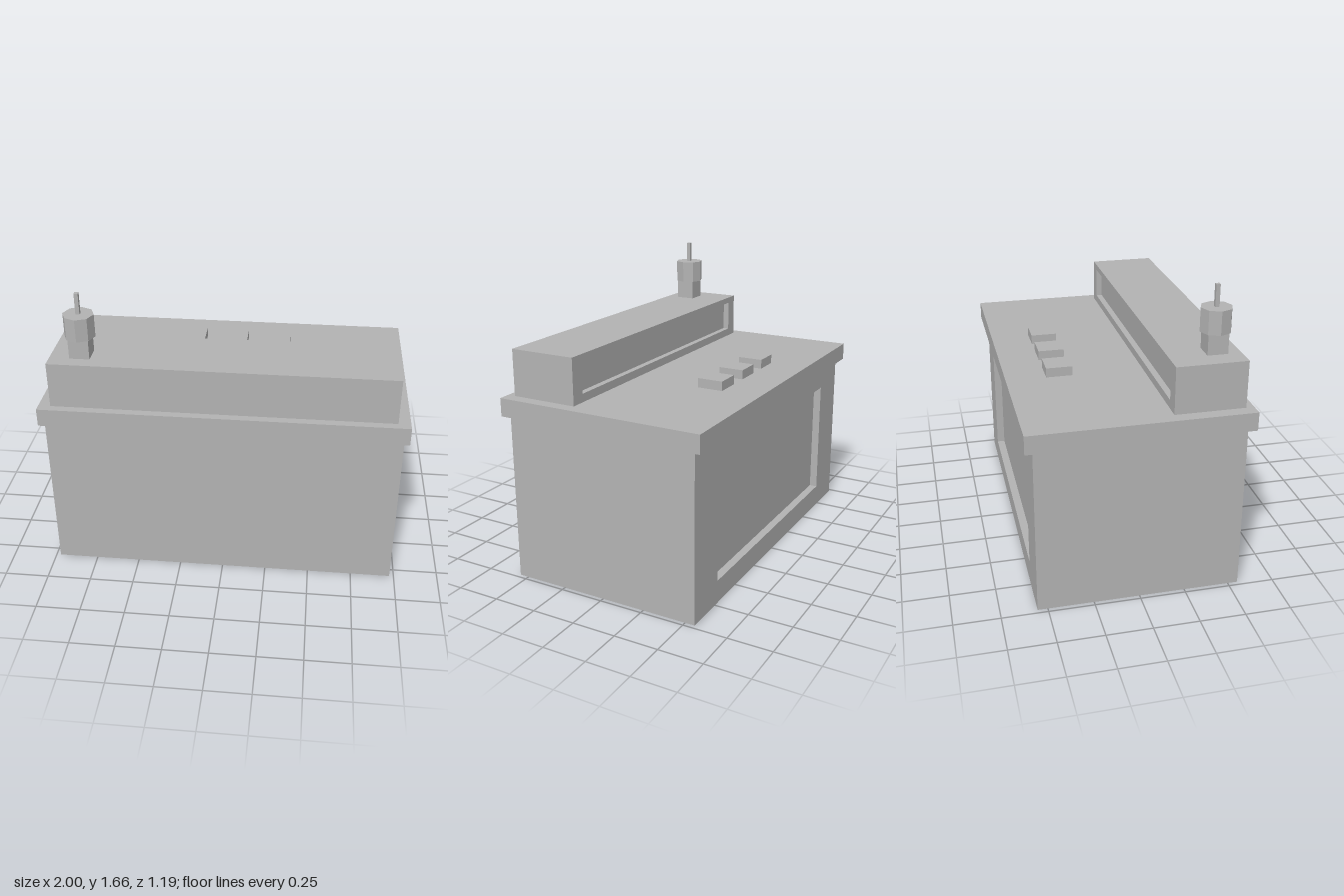
import * as THREE from 'three';

const grey = new THREE.MeshStandardMaterial({ color: 0xb3b3b3 });
grey.name = 'plain grey';

function add(parent, name, geometry, x = 0, y = 0, z = 0) {
  const mesh = new THREE.Mesh(geometry, grey);
  mesh.name = name;
  mesh.position.set(x, y, z);
  parent.add(mesh);
  return mesh;
}

// Box given by its extents on each axis
function box(parent, name, [x0, x1], [y0, y1], [z0, z1]) {
  return add(parent, name, new THREE.BoxGeometry(x1 - x0, y1 - y0, z1 - z0),
    (x0 + x1) / 2, (y0 + y1) / 2, (z0 + z1) / 2);
}

function rectangle(target, halfWidth, y0, y1) {
  target.moveTo(-halfWidth, y0);
  target.lineTo(halfWidth, y0);
  target.lineTo(halfWidth, y1);
  target.lineTo(-halfWidth, y1);
  target.closePath();
  return target;
}

// Box whose rear (-z) face holds a sunken rectangular panel
function recessedBox(parent, name, halfWidth, [y0, y1], [z0, z1], hole, depth) {
  const group = new THREE.Group();
  group.name = name;
  box(group, name + 'Core', [-halfWidth, halfWidth], [y0, y1], [z0 + depth, z1]);
  const shape = rectangle(new THREE.Shape(), halfWidth, y0, y1);
  shape.holes.push(rectangle(new THREE.Path(), hole.halfWidth, hole.y0, hole.y1));
  const frame = new THREE.ExtrudeGeometry(shape, { depth, bevelEnabled: false });
  add(group, name + 'PanelFrame', frame, 0, 0, z0);
  parent.add(group);
}

export function createModel() {
  const model = new THREE.Group();
  model.name = 'counter';

  // Cabinet and worktop
  recessedBox(model, 'cabinet', 0.975, [0, 0.94], [-0.555, 0.555],
    { halfWidth: 0.72, y0: 0.13, y1: 0.81 }, 0.045);
  box(model, 'worktop', [-1, 1], [0.94, 1.042], [-0.597, 0.597]);

  // Raised console along the front edge
  recessedBox(model, 'console', 0.933, [1.042, 1.3], [0.172, 0.553],
    { halfWidth: 0.853, y0: 1.088, y1: 1.265 }, 0.035);

  // Three square buttons
  for (const x of [-0.258, -0.002, 0.255]) {
    box(model, 'button', [x - 0.073, x + 0.073], [1.042, 1.095], [-0.374, -0.228]);
  }

  // Beacon: square post, eight-sided lamp, thin aerial
  const beacon = new THREE.Group();
  beacon.name = 'beacon';
  beacon.position.set(-0.768, 0, 0.425);
  box(beacon, 'post', [-0.055, 0.055], [1.3, 1.412], [-0.055, 0.055]);
  const lamp = new THREE.CylinderGeometry(0.084, 0.084, 0.128, 8).toNonIndexed();
  lamp.computeVertexNormals();
  add(beacon, 'lamp', lamp, 0, 1.476, 0);
  box(beacon, 'aerial', [-0.011, 0.011], [1.54, 1.658], [-0.011, 0.011]);
  model.add(beacon);

  return model;
}
